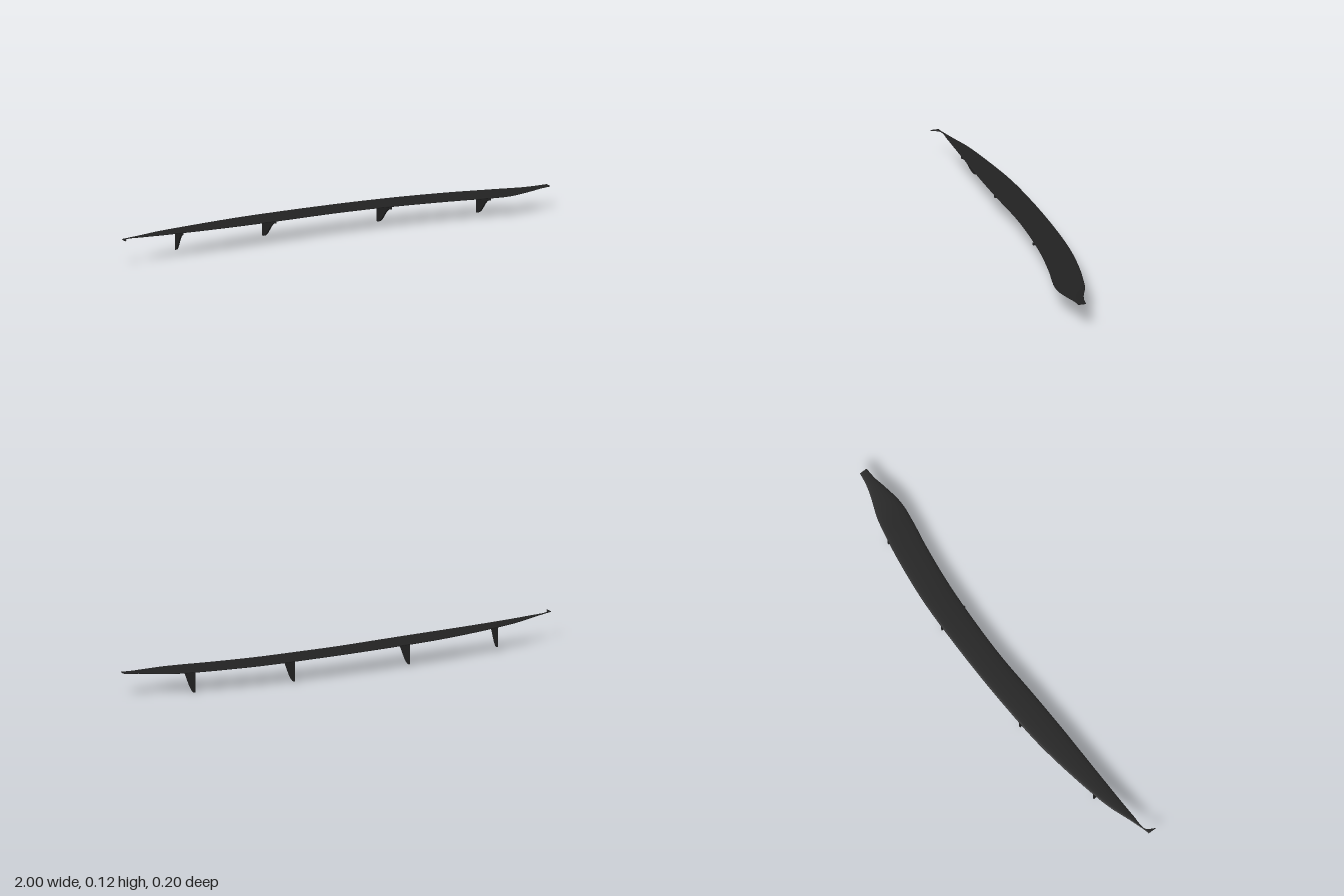
import * as THREE from 'three';

const carbon = new THREE.MeshStandardMaterial({ color: 0x222222 });
carbon.name = 'carbonBlack';

// Blade stations: x, back z, front z, centre y, half thickness
const stations = [
  [-1, 0.035, 0.074, 0.118, 0.002],
  [-0.975, 0.03, 0.036, 0.117, 0.002],
  [-0.9, 0.007, 0.032, 0.114, 0.003],
  [-0.8, -0.026, 0.031, 0.11, 0.004],
  [-0.6, -0.064, 0.031, 0.105, 0.0045],
  [-0.4, -0.09, 0.031, 0.102, 0.0045],
  [-0.2, -0.1, 0.027, 0.1, 0.0045],
  [0, -0.103, 0.021, 0.098, 0.0045],
  [0.2, -0.1, 0.027, 0.096, 0.0045],
  [0.4, -0.09, 0.042, 0.093, 0.0045],
  [0.6, -0.064, 0.07, 0.091, 0.0045],
  [0.7, -0.045, 0.089, 0.09, 0.0045],
  [0.8, -0.022, 0.1, 0.09, 0.004],
  [0.9, 0.016, 0.086, 0.094, 0.003],
  [0.95, 0.03, 0.076, 0.097, 0.0025],
  [1, 0.038, 0.073, 0.1, 0.002],
];

// Loft of rounded thin sections between the back and front edge curves
function bladeGeometry() {
  const edge = (col) => new THREE.CatmullRomCurve3(
    stations.map((s) => new THREE.Vector3(s[0], s[3], s[col])));
  const back = edge(1), front = edge(2);
  const steps = (stations.length - 1) * 5, sides = 24;
  const pos = [], idx = [];
  for (let i = 0; i <= steps; i++) {
    const t = i / steps;
    const a = back.getPoint(t), b = front.getPoint(t);
    const k = Math.min(Math.floor(t * (stations.length - 1)), stations.length - 2);
    const half = THREE.MathUtils.lerp(stations[k][4], stations[k + 1][4], t * (stations.length - 1) - k);
    for (let j = 0; j < sides; j++) {
      const ang = (j / sides) * Math.PI * 2, s = Math.sin(ang);
      const p = a.clone().lerp(b, (1 - Math.cos(ang)) / 2);
      pos.push(p.x, p.y + Math.sign(s) * Math.sqrt(Math.abs(s)) * half, p.z);
    }
  }
  for (let i = 0; i < steps; i++) {
    for (let j = 0; j < sides; j++) {
      const n = (j + 1) % sides;
      const a = i * sides + j, b = a + sides, c = i * sides + n, d = c + sides;
      idx.push(a, c, b, b, c, d);
    }
  }
  // End caps on their own vertices, so the rims stay sharp
  for (const end of [0, steps]) {
    const first = pos.length / 3;
    for (let j = 0; j < sides * 3; j++) pos.push(pos[end * sides * 3 + j]);
    for (let j = 1; j < sides - 1; j++) {
      if (end) idx.push(first, first + j, first + j + 1);
      else idx.push(first, first + j + 1, first + j);
    }
  }
  const g = new THREE.BufferGeometry();
  g.setAttribute('position', new THREE.Float32BufferAttribute(pos, 3));
  g.setIndex(idx);
  g.computeVertexNormals();
  return g;
}

// Fin with an upright back edge and a swept S-curve in front
function finGeometry(length, height) {
  const thick = 0.007;
  const s = new THREE.Shape();
  s.moveTo(0, 0);
  s.lineTo(length, 0);
  s.lineTo(length, -height * 0.11);
  s.bezierCurveTo(length * 0.58, -height * 0.13, length * 0.42, -height, 0, -height);
  s.closePath();
  const g = new THREE.ExtrudeGeometry(s, { depth: thick, bevelEnabled: false, curveSegments: 24 });
  g.translate(0, 0, -thick / 2);
  g.rotateY(-Math.PI / 2);
  return g;
}

export function createModel() {
  const model = new THREE.Group();
  model.name = 'splitterBlade';

  const blade = new THREE.Mesh(bladeGeometry(), carbon);
  blade.name = 'blade';
  model.add(blade);

  // Fins: x, top y, back z, length, height
  const fins = [
    [-0.71, 0.107, -0.034, 0.065, 0.088],
    [-0.27, 0.1, -0.087, 0.116, 0.088],
    [0.27, 0.094, -0.087, 0.122, 0.089],
    [0.71, 0.089, -0.034, 0.122, 0.089],
  ];
  fins.forEach(([x, y, z, length, height], i) => {
    const fin = new THREE.Mesh(finGeometry(length, height), carbon);
    fin.name = `fin${i + 1}`;
    fin.position.set(x, y, z);
    model.add(fin);
  });
  return model;
}
